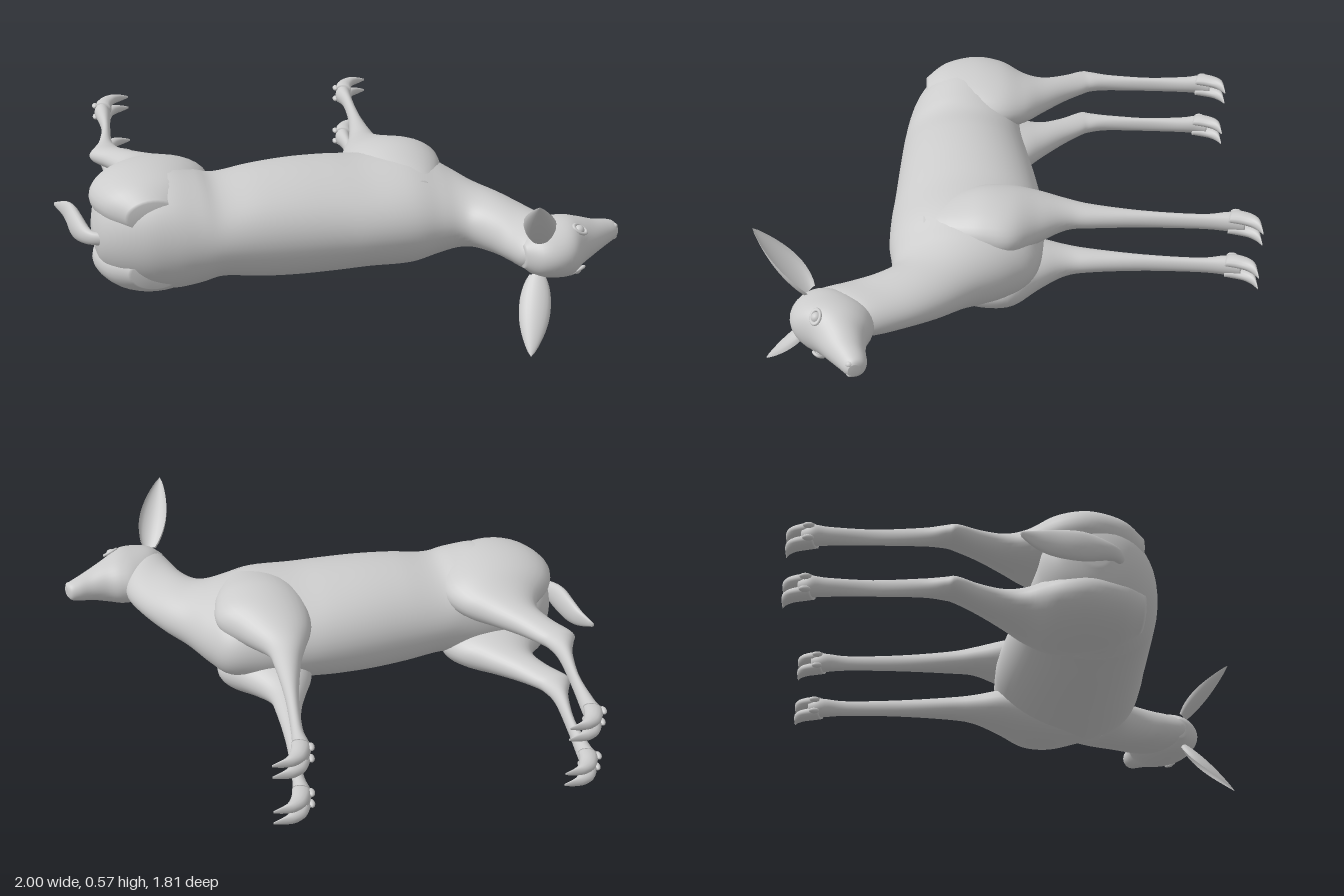
import * as THREE from 'three';

// The animal is built standing (x forward, y up, z sideways), then laid on its side.
const material = new THREE.MeshStandardMaterial({ color: 0xcccccc });
const earMaterial = new THREE.MeshStandardMaterial({ color: 0xcccccc, side: THREE.DoubleSide });

function spline(p0, p1, p2, p3, t) {
  return 0.5 * (2 * p1 + (p2 - p0) * t + (2 * p0 - 5 * p1 + 4 * p2 - p3) * t * t
    + (3 * p1 - p0 - 3 * p2 + p3) * t * t * t);
}

function gridGeometry(rows, cols, point) {
  const pos = [], index = [];
  for (let i = 0; i < rows; i++) {
    for (let j = 0; j < cols; j++) pos.push(...point(i, j));
  }
  return { pos, index };
}

function finish({ pos, index }) {
  const g = new THREE.BufferGeometry();
  g.setAttribute('position', new THREE.Float32BufferAttribute(pos, 3));
  g.setIndex(index);
  g.computeVertexNormals();
  return g;
}

// Smooth closed skin through oval sections [ax, ay, bx, by, zCentre, halfWidth],
// where a and b are opposite points of the side outline.
function loft(name, sections, sides = 32, steps = 5) {
  const last = sections.length - 1;
  const at = (i) => sections[Math.min(Math.max(i, 0), last)];
  const rings = [];
  for (let i = 0; i < last; i++) {
    for (let k = 0; k < steps; k++) {
      rings.push(at(i).map((v, c) => spline(at(i - 1)[c], v, at(i + 1)[c], at(i + 2)[c], k / steps)));
    }
  }
  rings.push(at(last));
  const tip = ([ax, ay, bx, by, z]) => [(ax + bx) / 2, (ay + by) / 2, (ax + bx) / 2, (ay + by) / 2, z, 0];
  rings.unshift(tip(rings[0]));
  rings.push(tip(rings[rings.length - 1]));
  const grid = gridGeometry(rings.length, sides, (i, j) => {
    const [ax, ay, bx, by, z, w] = rings[i];
    const c = Math.cos(j / sides * Math.PI * 2) / 2, s = Math.sin(j / sides * Math.PI * 2);
    return [(ax + bx) / 2 + (bx - ax) * c, (ay + by) / 2 + (by - ay) * c, z + w * s];
  });
  for (let i = 0; i < rings.length - 1; i++) {
    for (let j = 0; j < sides; j++) {
      const a = i * sides + j, b = i * sides + (j + 1) % sides;
      grid.index.push(a, b, a + sides, b, b + sides, a + sides);
    }
  }
  return named(name, finish(grid));
}

function named(name, geometry, mat = material) {
  const mesh = new THREE.Mesh(geometry, mat);
  mesh.name = name;
  return mesh;
}

function ball(name, x, y, z, sx, sy, sz) {
  const mesh = named(name, new THREE.SphereGeometry(1, 16, 12));
  mesh.position.set(x, y, z);
  mesh.scale.set(sx, sy, sz);
  return mesh;
}

// Torso and neck in one skin
const BODY = [
  [-0.88, 0.1, -0.878, 0.19, 0, 0.04], [-0.86, 0.02, -0.85, 0.26, 0, 0.12],
  [-0.8, -0.03, -0.79, 0.32, 0, 0.18], [-0.7, -0.04, -0.7, 0.37, 0, 0.215],
  [-0.6, -0.05, -0.6, 0.397, 0, 0.225], [-0.5, -0.055, -0.5, 0.412, 0, 0.205],
  [-0.42, -0.065, -0.42, 0.42, 0, 0.182], [-0.28, -0.085, -0.28, 0.428, 0, 0.2],
  [-0.14, -0.105, -0.14, 0.435, 0, 0.208], [0, -0.12, 0, 0.442, 0, 0.205],
  [0.12, -0.125, 0.12, 0.45, 0, 0.197], [0.3, -0.115, 0.27, 0.452, 0, 0.195],
  [0.42, -0.085, 0.37, 0.44, 0, 0.165], [0.49, 0.0, 0.44, 0.438, 0, 0.135],
  [0.56, 0.12, 0.485, 0.465, 0, 0.112], [0.64, 0.23, 0.525, 0.535, 0, 0.1],
  [0.71, 0.35, 0.55, 0.62, 0, 0.088], [0.755, 0.47, 0.58, 0.70, 0, 0.084],
  [0.75, 0.56, 0.62, 0.73, 0, 0.06],
];

const HEAD = [
  [0.585, 0.67, 0.59, 0.715, 0, 0.04], [0.63, 0.56, 0.64, 0.765, 0, 0.08],
  [0.71, 0.49, 0.7, 0.78, 0, 0.098], [0.77, 0.487, 0.765, 0.76, 0, 0.103],
  [0.83, 0.505, 0.825, 0.695, 0, 0.086], [0.89, 0.507, 0.89, 0.647, 0, 0.062],
  [0.94, 0.5, 0.945, 0.605, 0, 0.047], [0.97, 0.503, 0.985, 0.575, 0, 0.036],
  [0.985, 0.52, 0.997, 0.56, 0, 0.022],
];

const TAIL = [
  [-0.84, 0.25, -0.83, 0.21, 0, 0.025], [-0.89, 0.228, -0.87, 0.2, 0, 0.026],
  [-0.93, 0.18, -0.885, 0.165, 0, 0.036], [-0.958, 0.09, -0.9, 0.1, 0, 0.054],
  [-0.967, -0.01, -0.915, 0.015, 0, 0.05], [-0.978, -0.07, -0.94, -0.06, 0, 0.034],
  [-1, -0.122, -0.985, -0.115, 0, 0.01],
];

// Leg sections: [y, back x, front x, z centre, half width]
const FRONT_LEG = [
  [0.32, 0.22, 0.36, 0.13, 0.03], [0.2, 0.14, 0.42, 0.125, 0.075],
  [0.1, 0.11, 0.45, 0.122, 0.1], [0, 0.1, 0.45, 0.115, 0.1],
  [-0.1, 0.115, 0.37, 0.107, 0.078], [-0.2, 0.155, 0.3, 0.104, 0.054],
  [-0.3, 0.19, 0.287, 0.1, 0.043], [-0.5, 0.235, 0.285, 0.098, 0.033],
  [-0.7, 0.258, 0.3, 0.098, 0.03], [-0.8, 0.25, 0.315, 0.098, 0.038],
  [-0.85, 0.27, 0.325, 0.098, 0.036],
];

const HIND_LEG = [
  [0.33, -0.76, -0.58, 0.11, 0.06], [0.25, -0.84, -0.49, 0.12, 0.098],
  [0.13, -0.882, -0.445, 0.122, 0.114], [0.02, -0.855, -0.432, 0.12, 0.105],
  [-0.07, -0.78, -0.475, 0.113, 0.08], [-0.15, -0.757, -0.555, 0.108, 0.06],
  [-0.24, -0.79, -0.64, 0.104, 0.046], [-0.32, -0.84, -0.7, 0.1, 0.038],
  [-0.36, -0.828, -0.725, 0.1, 0.036], [-0.44, -0.797, -0.743, 0.098, 0.033],
  [-0.6, -0.77, -0.735, 0.098, 0.03], [-0.75, -0.775, -0.72, 0.098, 0.033],
  [-0.81, -0.78, -0.715, 0.098, 0.039], [-0.85, -0.76, -0.705, 0.098, 0.036],
];

// Half of a cloven hoof: [ax, ay, bx, by, half width]
const TOE = [
  [0.255, -0.81, 0.315, -0.79, 0.018], [0.262, -0.845, 0.323, -0.825, 0.022],
  [0.285, -0.885, 0.335, -0.855, 0.021], [0.32, -0.904, 0.35, -0.878, 0.02],
  [0.365, -0.905, 0.372, -0.894, 0.014], [0.4, -0.905, 0.4, -0.902, 0.004],
];

function leg(name, sections, hoofShift, side) {
  const group = new THREE.Group();
  group.name = name;
  group.add(loft('limb', sections.map(([y, back, front, z, w]) => [back, y, front, y, z * side, w])));
  for (const d of [-1, 1]) {
    const z = 0.098 * side + d * 0.024;
    group.add(loft('toe', TOE.map(([ax, ay, bx, by, w]) => [ax + hoofShift, ay, bx + hoofShift, by, z, w]), 14, 4));
    group.add(ball('dewclaw', 0.254 + hoofShift, -0.825, z, 0.012, 0.02, 0.011));
  }
  return group;
}

// Cupped leaf-shaped ear, open to the front and outside
function ear(side) {
  const base = new THREE.Vector3(0.635, 0.715, 0.065);
  const axis = new THREE.Vector3(0.56, 0.9, 0.285).sub(base);
  const across = new THREE.Vector3(0.85, 0.35, 0);
  across.addScaledVector(axis, -across.dot(axis) / axis.lengthSq()).normalize();
  const back = new THREE.Vector3().crossVectors(across, axis).normalize();
  if (back.y < 0) back.negate();
  const rows = 17, cols = 13;
  const grid = gridGeometry(rows, cols, (i, j) => {
    const u = i / (rows - 1), a = (j / (cols - 1) - 0.5) * Math.PI * (1.25 - 0.45 * u);
    const w = 0.056 * Math.pow(Math.sin(Math.PI * (0.14 + 0.86 * Math.pow(u, 0.9))), 0.75);
    const p = base.clone().addScaledVector(axis, u)
      .addScaledVector(across, w * Math.sin(a)).addScaledVector(back, w * 0.6 * (Math.cos(a) - 0.5));
    return [p.x, p.y, p.z * side];
  });
  for (let i = 0; i < rows - 1; i++) {
    for (let j = 0; j < cols - 1; j++) {
      const a = i * cols + j;
      grid.index.push(a, a + 1, a + cols, a + 1, a + cols + 1, a + cols);
    }
  }
  return named('ear', finish(grid), earMaterial);
}

// Eyeball with a raised lid ring
function eye(side) {
  const group = new THREE.Group();
  group.name = 'eye';
  group.add(named('eyeball', new THREE.SphereGeometry(0.019, 20, 14)));
  const lid = named('eyelid', new THREE.TorusGeometry(0.021, 0.006, 10, 28));
  lid.scale.set(1.25, 0.9, 1);
  lid.position.z = 0.006;
  group.add(lid);
  group.position.set(0.797, 0.675, 0.076 * side);
  group.lookAt(0.797 + 0.4, 0.675 + 0.45, side * (0.076 + 0.8));
  return group;
}

export function createModel() {
  const model = new THREE.Group();
  const animal = new THREE.Group();
  animal.name = 'deer';
  animal.add(loft('body', BODY, 48), loft('head', HEAD, 36), loft('tail', TAIL, 20));
  for (const side of [1, -1]) {
    animal.add(leg('frontLeg', FRONT_LEG, 0, side), leg('hindLeg', HIND_LEG, -1.03, side));
    animal.add(ear(side), eye(side));
    animal.add(ball('nostril', 0.98, 0.555, 0.02 * side, 0.014, 0.014, 0.012));
  }
  // Lay the animal on its side
  animal.rotation.x = Math.PI / 2;
  animal.position.y = 0.285;
  model.add(animal);
  return model;
}
